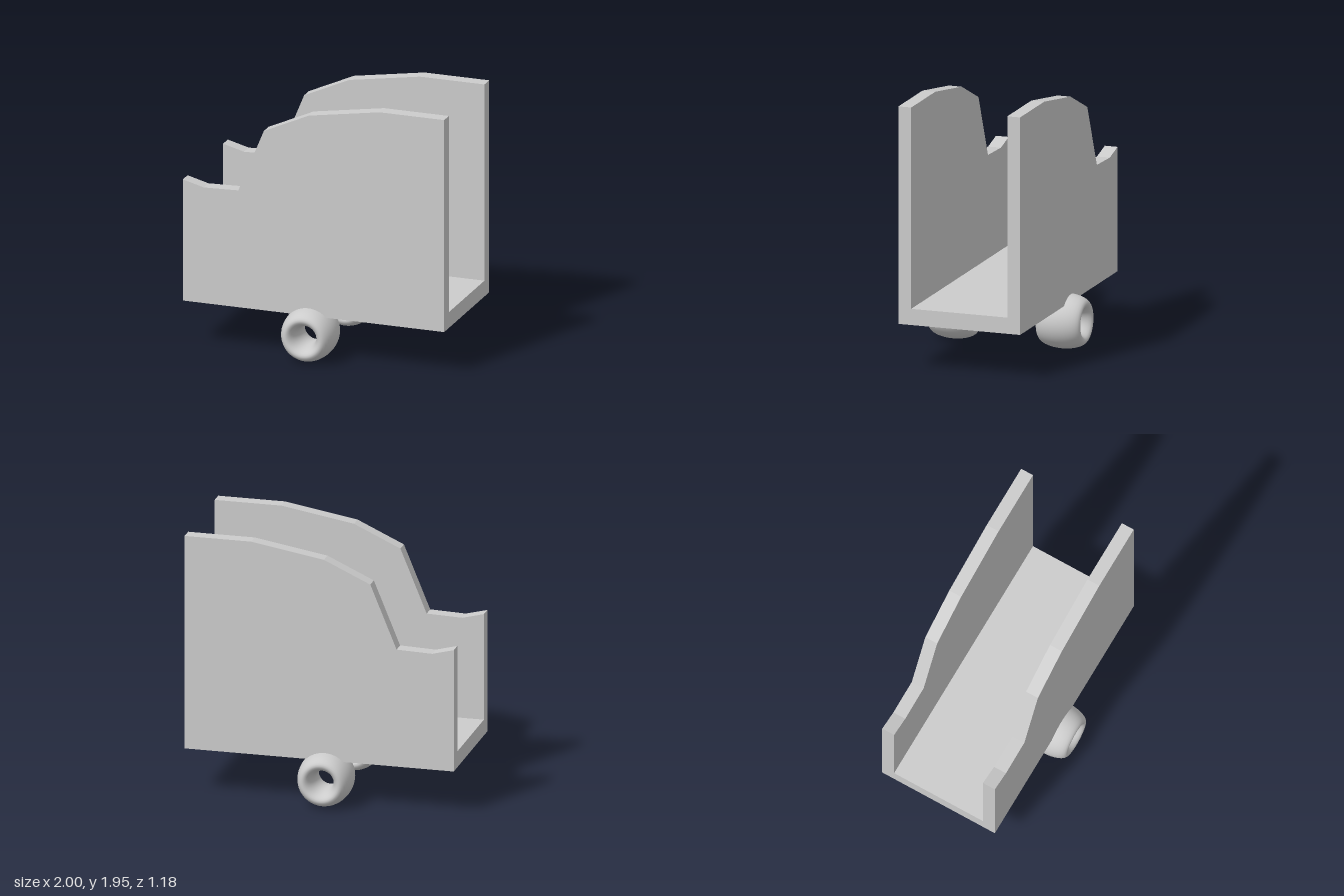
import * as THREE from 'three';

export function createModel() {
  const group = new THREE.Group();
  const material = new THREE.MeshStandardMaterial({ color: 0xcccccc });
  const add = (name, geometry, x, y, z) => {
    const mesh = new THREE.Mesh(geometry, material);
    mesh.name = name;
    mesh.position.set(x, y, z);
    group.add(mesh);
    return mesh;
  };

  const outer = 0.466, inner = 0.368, bottom = 0.345;

  // Side panel outline: low nose, sloping windscreen and tall rear
  const outline = [
    [-1, bottom], [1, bottom], [1, 1.955], [0.505, 1.955], [-0.035, 1.865],
    [-0.38, 1.707], [-0.575, 1.232], [-0.84, 1.223], [-1, 1.265],
  ].map(([x, y]) => new THREE.Vector2(x, y));
  const panel = new THREE.ExtrudeGeometry(new THREE.Shape(outline), {
    depth: outer - inner, bevelEnabled: false,
  });
  add('frontSidePanel', panel, 0, 0, inner);
  add('backSidePanel', panel, 0, 0, -outer);

  // Floor joining the two panels
  add('floor', new THREE.BoxGeometry(2, 0.12, inner * 2), 0, bottom + 0.06, 0);

  // Wheels: rings stretched along the axle, with open centres
  const wheel = new THREE.TorusGeometry(0.135, 0.066, 32, 64);
  wheel.scale(1, 1, 0.17 / 0.066);
  for (const side of [1, -1]) {
    add(side > 0 ? 'frontWheel' : 'backWheel', wheel, -0.04, 0.203, side * 0.418);
  }

  return group;
}
